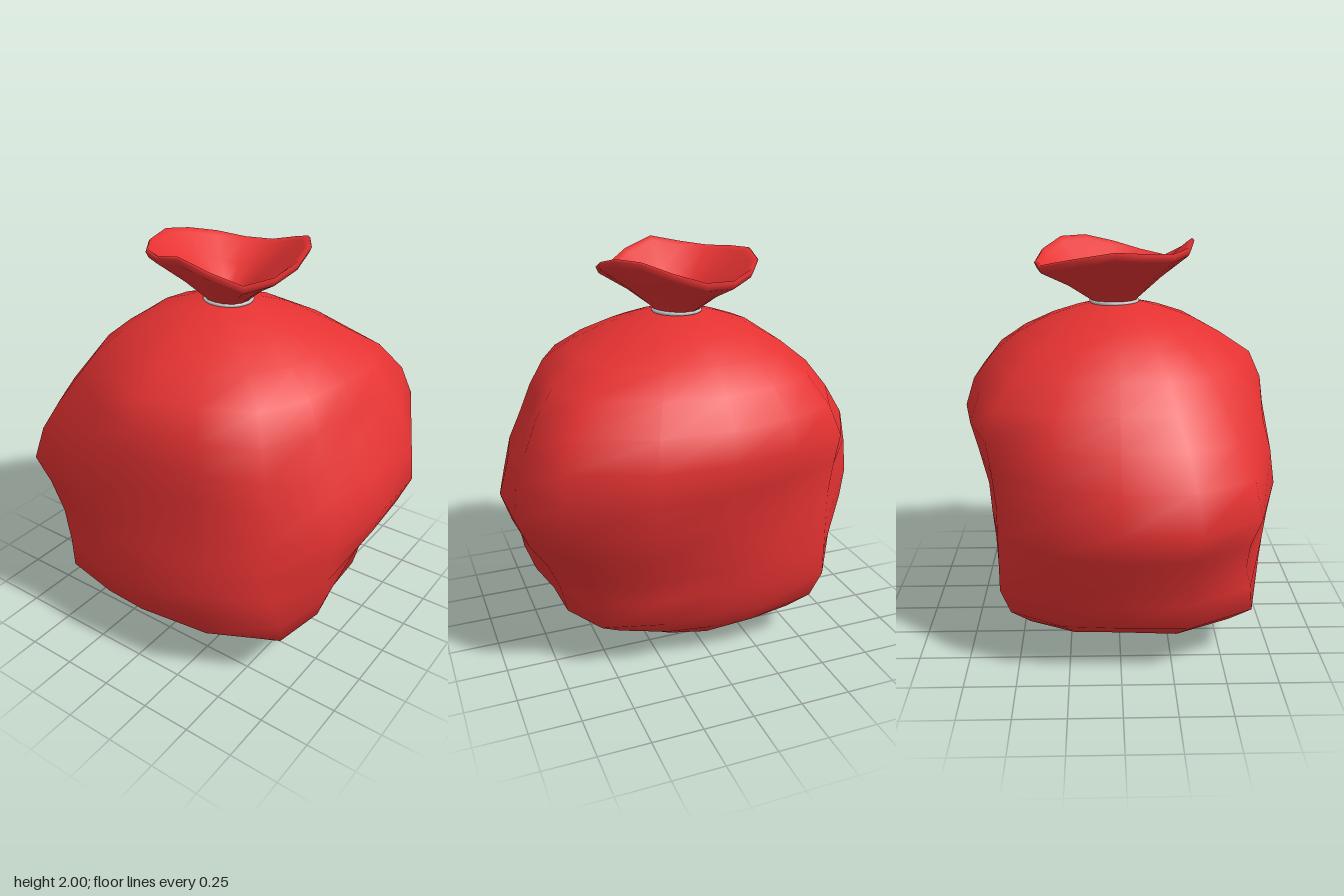
import * as THREE from 'three';
import { mergeVertices } from 'three/addons/utils/BufferGeometryUtils.js';

const SIDES = 16;

// Loft: rings run from bottom to top, each ring is a function of side index -> [radius, y, degrees].
// Zero degrees points to +x and the sides turn towards +z.
function loft(rings) {
  const pos = [], index = [];
  rings.forEach((ring, i) => {
    for (let j = 0; j < SIDES; j++) {
      const [r, y, degrees] = ring(j);
      const a = THREE.MathUtils.degToRad(degrees);
      pos.push(Math.cos(a) * r, y, Math.sin(a) * r);
      if (i === rings.length - 1) continue;
      const p = i * SIDES + j, q = i * SIDES + ((j + 1) % SIDES);
      index.push(p, p + SIDES, q, q, p + SIDES, q + SIDES);
    }
  });
  let geo = new THREE.BufferGeometry();
  geo.setAttribute('position', new THREE.Float32BufferAttribute(pos, 3));
  geo.setIndex(index);
  geo = mergeVertices(geo, 1e-4);
  geo.computeVertexNormals();
  return geo;
}

// Dents and bulges of the 8 in-between sides
const BETWEEN = [0.99, 0.97, 0.955, 1.01, 1, 0.965, 0.97, 1.015];

// Smooth radius at one of 16 sides, from 8 key radii
function radiusAt(keys, j) {
  const k = (n) => keys[(n + 8) % 8];
  const i = j >> 1;
  if (j % 2 === 0) return k(i);
  return (BETWEEN[i] * (9 * (k(i) + k(i + 1)) - k(i - 1) - k(i + 2))) / 16;
}

// Lumpy sack: height, then radius (round ring) or radii in 8 directions
const BODY = [
  [0, 0],
  [0.045, 0.27],
  [0.1, [0.44, 0.5, 0.45, 0.48, 0.44, 0.47, 0.42, 0.43]],
  [0.17, [0.57, 0.73, 0.58, 0.7, 0.56, 0.63, 0.49, 0.57]],
  [0.27, [0.69, 0.85, 0.71, 0.83, 0.69, 0.75, 0.53, 0.72]],
  [0.41, [0.74, 0.91, 0.76, 0.835, 0.76, 0.81, 0.57, 0.74]],
  [0.55, [0.8, 0.91, 0.77, 0.86, 0.81, 0.81, 0.615, 0.79]],
  [0.7, [0.88, 0.9, 0.755, 0.92, 0.89, 0.81, 0.66, 0.89]],
  [0.85, [0.93, 0.89, 0.74, 0.985, 0.93, 0.81, 0.69, 0.955]],
  [1.02, [0.88, 0.87, 0.74, 0.93, 0.88, 0.83, 0.74, 0.975]],
  [1.17, [0.79, 0.84, 0.74, 0.835, 0.8, 0.855, 0.775, 0.96]],
  [1.31, [0.73, 0.79, 0.72, 0.73, 0.7, 0.79, 0.73, 0.9]],
  [1.44, [0.67, 0.7, 0.66, 0.63, 0.6, 0.68, 0.63, 0.775]],
  [1.54, [0.54, 0.54, 0.51, 0.5, 0.48, 0.54, 0.51, 0.59]],
  [1.62, 0.365],
  [1.67, 0.22],
  [1.7, 0.09],
  [1.705, 0],
];

// Directions of the sack's sides, and how far the front corners turn near the base
const BODY_DEGREES = [0, 20.5, 43, 64, 90, 112, 140.5, 160, 180.5, 202.5, 225.5, 246.5, 270, 296, 321, 340.5];
const BASE_TURN = [0, -3, -7, -3, 0, -4, -11, -5, 0, 0, 0, 0, 0, 0, 0, 0];

// Wavy height of the flared mouth, one value per side
const RIM = [1.95, 1.91, 1.89, 1.95, 2.0, 1.97, 1.955, 1.965,
  1.975, 1.95, 1.92, 1.89, 1.895, 1.94, 1.985, 1.985];

// Mouth profile: radius, fraction of the way from neck to rim, drop below it.
// Runs up the outside, over the lip and down the inside.
const NECK_Y = 1.69;
const MOUTH = [
  [0.1, 0, 0], [0.122, 0.1, 0], [0.24, 0.48, 0], [0.377, 1, 0.038],
  [0.39, 1, 0.01], [0.378, 1, 0], [0.352, 1, 0.018], [0.21, 0.54, 0], [0.1, 0.22, 0],
  [0.06, 0.07, 0], [0.055, 0, 0],
];

export function createModel() {
  const group = new THREE.Group();
  const cloth = new THREE.MeshStandardMaterial({ color: 0xe53232 });
  const metal = new THREE.MeshStandardMaterial({ color: 0xcccccc });

  const add = (name, geo, mat) => {
    const mesh = new THREE.Mesh(geo, mat);
    mesh.name = name;
    group.add(mesh);
    return mesh;
  };

  // Filled sack
  const bodyRings = BODY.map(([y, r]) => {
    const turn = 1 - THREE.MathUtils.smoothstep(y, 0.3, 0.7);
    return (j) => [Array.isArray(r) ? radiusAt(r, j) : r, y, BODY_DEGREES[j] + BASE_TURN[j] * turn];
  });
  add('sackBody', loft(bodyRings), cloth);

  // Gathered cloth above the tie
  const mouthRings = MOUTH.map(([r, t, drop]) =>
    (j) => [r, NECK_Y + (RIM[j] - NECK_Y) * t - drop, (j * 360) / SIDES]);
  add('sackMouth', loft(mouthRings), cloth).position.set(0.01, 0, -0.02);

  // Tie ring around the neck
  const tie = new THREE.TorusGeometry(0.114, 0.01, 8, 24).rotateX(Math.PI / 2);
  add('neckTie', tie, metal).position.set(0.01, 1.7, -0.02);

  return group;
}
